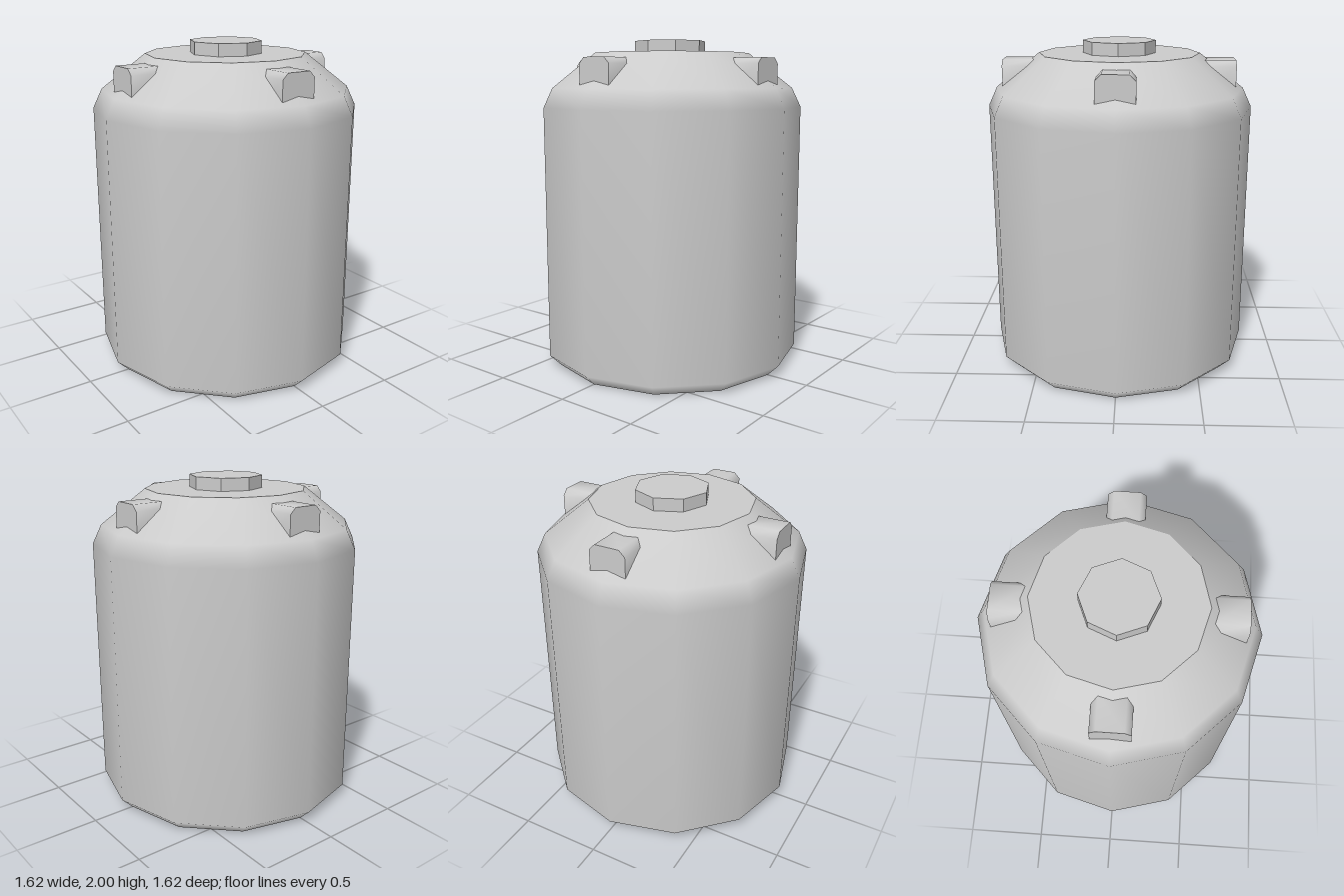
import * as THREE from 'three';
import { toCreasedNormals } from 'three/addons/utils/BufferGeometryUtils.js';

const SIDES = 12;
const TOP_Y = 1.925;
const TOP_R = 0.487;
const BASE_R = 0.74;

export function createModel() {
  const tank = new THREE.Group();
  tank.name = 'storageTank';
  const smooth = new THREE.MeshStandardMaterial({ color: 0xcccccc });
  const faceted = new THREE.MeshStandardMaterial({ color: 0xcccccc, flatShading: true });

  const add = (name, geometry, material, parent = tank) => {
    const mesh = new THREE.Mesh(geometry, material);
    mesh.name = name;
    parent.add(mesh);
    return mesh;
  };

  // Wall with bevelled foot and sloping shoulder
  const profile = [
    [BASE_R, 0], [0.81, 0.07], [0.81, 1.6], [0.755, 1.715], [TOP_R, TOP_Y],
  ].map(([r, y]) => new THREE.Vector2(r, y));
  add('tankWall', new THREE.LatheGeometry(profile, SIDES), smooth);

  // Flat discs closing the top and bottom
  const top = add('tankTop', new THREE.CircleGeometry(TOP_R, SIDES), faceted);
  top.rotation.x = -Math.PI / 2;
  top.position.y = TOP_Y;
  const base = add('tankBase', new THREE.CircleGeometry(BASE_R, SIDES), faceted);
  base.rotation.x = Math.PI / 2;

  // Octagonal lid
  const lid = add('lid', new THREE.CylinderGeometry(0.22, 0.22, 0.075, 8), faceted);
  lid.position.y = TOP_Y + 0.0375;

  // Four lifting lugs with bevelled tops, sunk into the shoulder
  const outline = new THREE.Shape([
    [-0.11, 1.7], [0.11, 1.7], [0.11, 1.855], [0.075, 1.89], [-0.075, 1.89], [-0.11, 1.855],
  ].map(([x, y]) => new THREE.Vector2(x, y)));
  const lugGeometry = toCreasedNormals(
    new THREE.ExtrudeGeometry(outline, { depth: 0.2, bevelEnabled: false }).translate(0, 0, 0.5),
    Math.PI / 3,
  );
  const lugs = new THREE.Group();
  lugs.name = 'liftingLugs';
  tank.add(lugs);
  ['front', 'left', 'back', 'right'].forEach((side, i) => {
    add(`${side}Lug`, lugGeometry, smooth, lugs).rotation.y = i * Math.PI / 2;
  });

  return tank;
}
